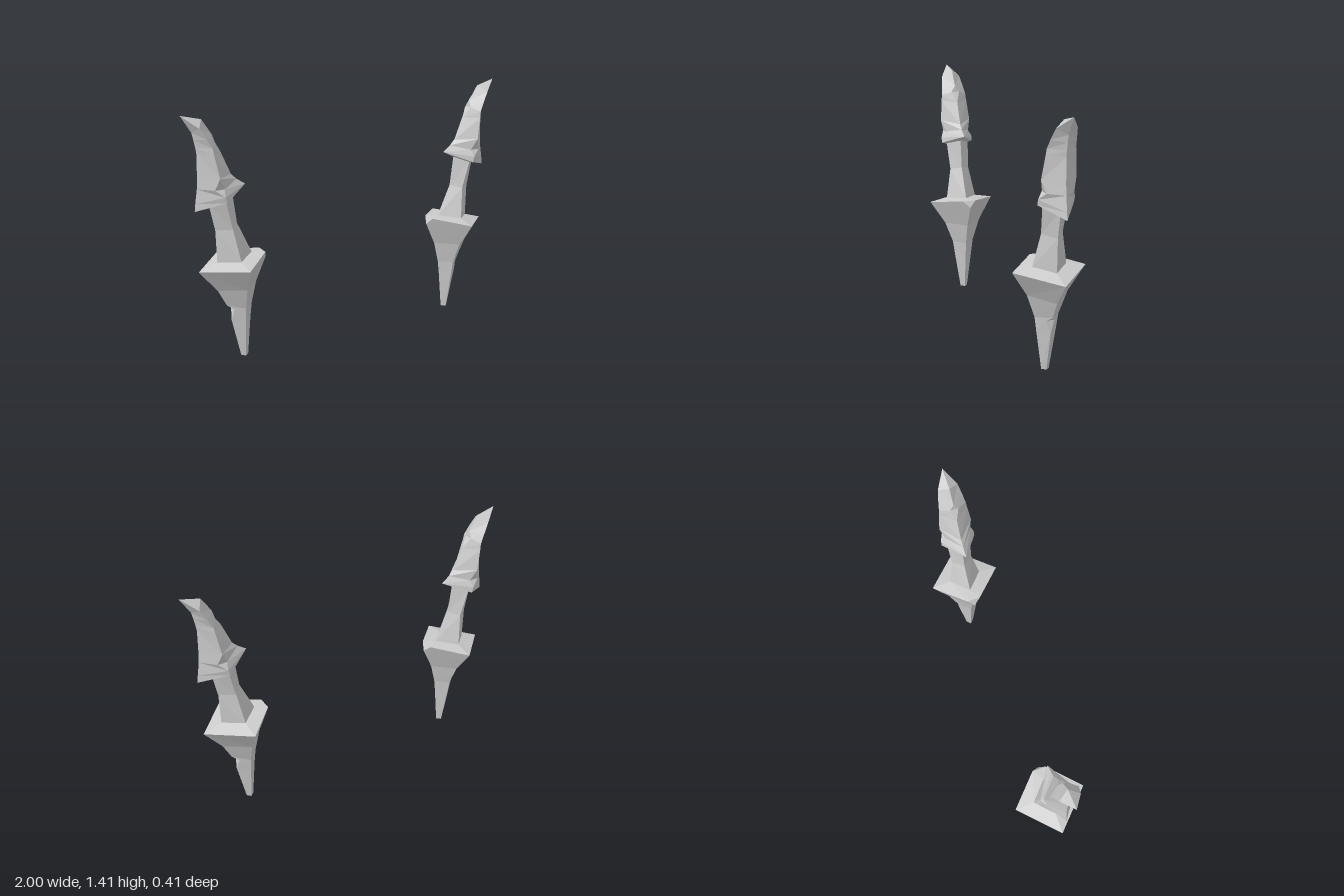
import * as THREE from 'three';

// Each cross-section is a faceted diamond: outer edge [x, y, halfWidth in z],
// side edge [x, y, z, halfWidth in x] and inner edge [x, y, halfWidth in z].
// A half-width splits an edge in two, which cuts a small notch into it.
const neckBase = [[0.83, 0.58, 0], [0.73, 0.595, 0.095, 0], [0.625, 0.607, 0]];
const neckTop = [[0.865, 0.915, 0], [0.795, 0.935, 0.07, 0], [0.727, 0.96, 0]];

const parts = {
  // pointed lower spike flaring into a sloping collar
  spike: [
    [[0.71, 0, 0], [0.69, 0, 0.022, 0], [0.667, 0, 0]],
    [[0.76, 0.225, 0], [0.698, 0.225, 0.056, 0], [0.645, 0.225, 0]],
    [[0.75, 0.297, 0.025], [0.70, 0.295, 0.066, 0], [0.636, 0.295, 0]],
    [[0.785, 0.32, 0], [0.70, 0.305, 0.067, 0], [0.635, 0.305, 0]],
    [[0.835, 0.417, 0], [0.71, 0.435, 0.115, 0], [0.603, 0.43, 0]],
    [[0.94, 0.545, 0], [0.73, 0.575, 0.205, 0], [0.54, 0.565, 0]],
    [[0.94, 0.545, 0], [0.73, 0.575, 0.205, 0], [0.56, 0.605, 0.04]],
    neckBase,
  ],
  // narrow waisted neck
  neck: [
    neckBase,
    [[0.834, 0.765, 0], [0.757, 0.775, 0.06, 0], [0.706, 0.787, 0]],
    neckTop,
  ],
  // curved blade with a guard at its foot and notched edges
  blade: [
    neckTop,
    [[0.945, 0.888, 0], [0.80, 0.94, 0.1, 0], [0.65, 1.0, 0]],
    [[0.94, 0.93, 0], [0.81, 0.972, 0.1, 0], [0.65, 1.0, 0]],
    [[0.927, 1.01, 0], [0.828, 1.01, 0.075, 0.028], [0.70, 1.035, 0]],
    [[0.923, 1.07, 0], [0.833, 1.077, 0.095, 0], [0.73, 1.065, 0]],
    [[0.92, 1.2, 0], [0.855, 1.2, 0.082, 0], [0.785, 1.195, 0]],
    [[0.925, 1.235, 0], [0.86, 1.237, 0.078, 0], [0.825, 1.257, 0.025]],
    [[0.933, 1.275, 0], [0.885, 1.285, 0.07, 0], [0.83, 1.295, 0]],
    [[0.942, 1.315, 0], [0.92, 1.345, 0.057, 0], [0.885, 1.38, 0]],
    [[1, 1.41, 0], [1, 1.41, 0, 0], [1, 1.41, 0]],
  ],
};

// Half of a ring, from the outer edge round to the inner edge
function halfRing([o, s, i], sx, sz) {
  return [
    [o[0], o[1], 0], [o[0], o[1], o[2]],
    [s[0] + s[3], s[1], s[2]], [s[0] - s[3], s[1], s[2]],
    [i[0], i[1], i[2]], [i[0], i[1], 0],
  ].map(([x, y, z]) => new THREE.Vector3(x * sx, y, z * sz));
}

// Skin the rings on both halves, dropping collapsed triangles
function loft(sections, sx, capBottom) {
  const pos = [];
  const e1 = new THREE.Vector3(), e2 = new THREE.Vector3();
  for (const sz of [1, -1]) {
    const tri = (a, b, c) => {
      if (e1.subVectors(b, a).cross(e2.subVectors(c, a)).length() < 1e-7) return;
      for (const v of sx * sz > 0 ? [a, b, c] : [a, c, b]) pos.push(v.x, v.y, v.z);
    };
    const rings = sections.map((s) => halfRing(s, sx, sz));
    for (let r = 0; r < rings.length - 1; r++) {
      const lo = rings[r], hi = rings[r + 1];
      for (let k = 0; k < lo.length - 1; k++) {
        tri(lo[k], hi[k], lo[k + 1]);
        tri(lo[k + 1], hi[k], hi[k + 1]);
      }
    }
    if (capBottom) {
      for (let k = 1; k < rings[0].length - 1; k++) tri(rings[0][0], rings[0][k], rings[0][k + 1]);
    }
  }
  const geo = new THREE.BufferGeometry();
  geo.setAttribute('position', new THREE.Float32BufferAttribute(pos, 3));
  geo.computeVertexNormals();
  return geo;
}

export function createModel() {
  const model = new THREE.Group();
  model.name = 'hornPair';
  const material = new THREE.MeshStandardMaterial({ color: 0xcccccc, flatShading: true });
  // mirrored pair
  for (const [side, sx] of [['left', 1], ['right', -1]]) {
    const horn = new THREE.Group();
    horn.name = side + 'Horn';
    for (const [name, sections] of Object.entries(parts)) {
      const mesh = new THREE.Mesh(loft(sections, sx, name === 'spike'), material);
      mesh.name = name;
      horn.add(mesh);
    }
    model.add(horn);
  }
  return model;
}
